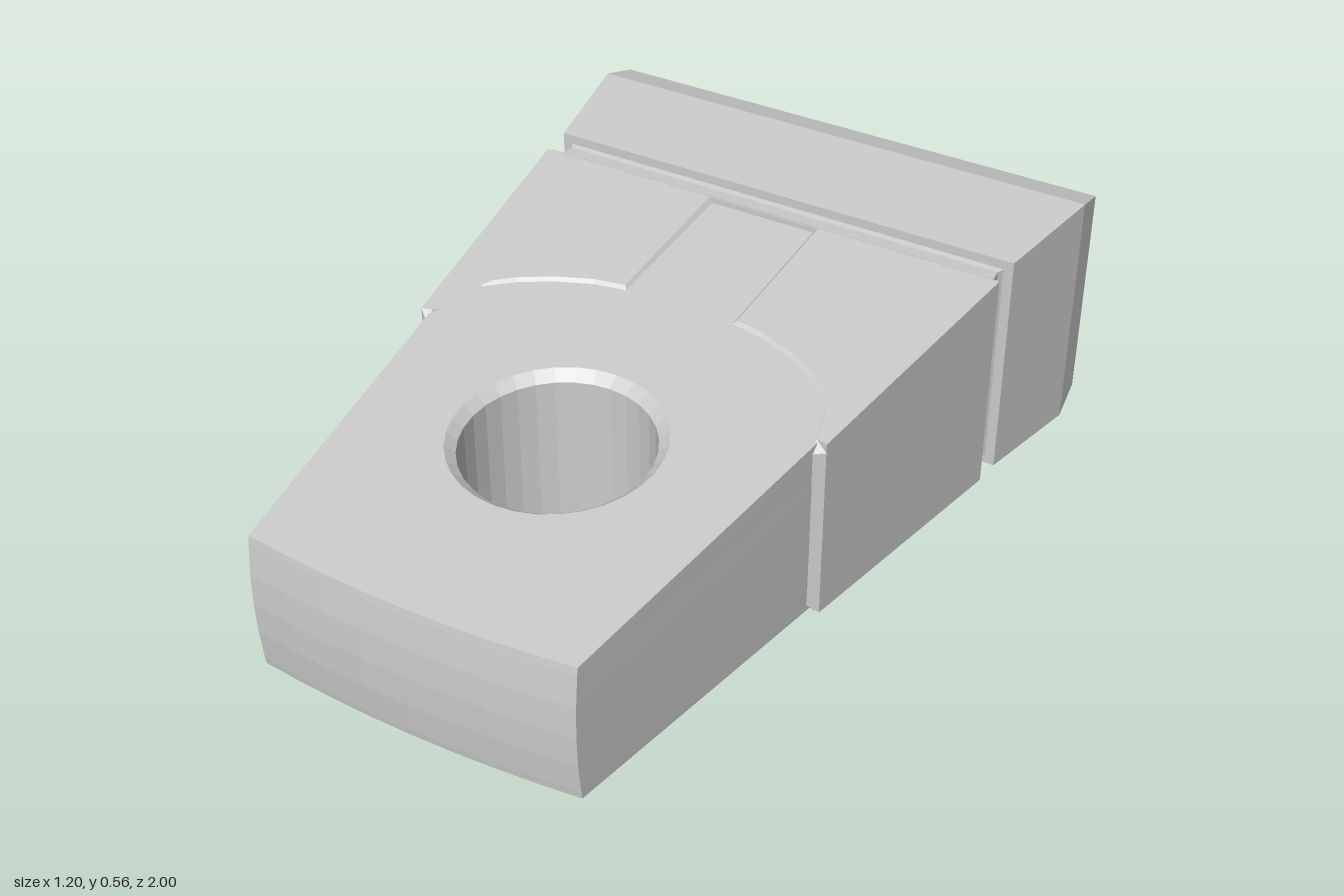
import * as THREE from 'three';

const MID = 0.28; // height of the middle plane
const LEVELS = [-1, -0.9, -0.45, 0, 0.45, 0.9, 1]; // layers through the thickness
const material = new THREE.MeshStandardMaterial({ color: 0xcccccc, flatShading: true });

function addMesh(group, name, geometry) {
  geometry.computeVertexNormals();
  const mesh = new THREE.Mesh(geometry, material);
  mesh.name = name;
  mesh.position.y = MID;
  group.add(mesh);
}

// Plan outline (x, z) given a tapering thickness; adjust() shifts points per layer
function taperedSlab(shape, halfHeight, adjust) {
  const geometry = new THREE.ExtrudeGeometry(shape, {
    depth: 6, steps: 6, bevelEnabled: false, curveSegments: 16,
  });
  const pos = geometry.attributes.position;
  const p = new THREE.Vector2();
  for (let i = 0; i < pos.count; i++) {
    const t = -LEVELS[Math.round(pos.getZ(i))];
    p.set(pos.getX(i), pos.getY(i));
    const h = halfHeight(p.y);
    adjust(p, t);
    pos.setXYZ(i, p.x, t * halfHeight(p.y) || t * h, p.y);
  }
  return geometry;
}

// Rectangular sections [z, halfWidth, halfHeight], ordered front to back, with end caps
function rectLoft(sections) {
  const points = [];
  const index = [];
  for (const [z, w, h] of sections) points.push(-w, -h, z, w, -h, z, w, h, z, -w, h, z);
  for (let s = 0; s < sections.length - 1; s++) {
    for (let k = 0; k < 4; k++) {
      const a = s * 4 + k, b = s * 4 + (k + 1) % 4;
      index.push(a, a + 4, b, b, a + 4, b + 4);
    }
  }
  const e = (sections.length - 1) * 4;
  index.push(0, 1, 2, 0, 2, 3, e, e + 2, e + 1, e, e + 3, e + 2);
  const geometry = new THREE.BufferGeometry();
  geometry.setAttribute('position', new THREE.Float32BufferAttribute(points, 3));
  geometry.setIndex(index);
  return geometry.toNonIndexed();
}

export function createModel() {
  const group = new THREE.Group();

  // Tapered tongue with a bulging front end and a chamfered hole
  const tongue = new THREE.Shape();
  tongue.moveTo(-0.526, -0.36);
  tongue.lineTo(0.526, -0.36);
  for (let i = 0; i <= 8; i++) {
    const u = 1 - i / 4;
    tongue.lineTo(0.355 * u, 0.965 + 0.022 * (1 - u * u));
  }
  const centre = new THREE.Vector2(0, 0.47);
  const hole = new THREE.Path();
  hole.absarc(centre.x, centre.y, 0.195, 0, Math.PI * 2, true);
  tongue.holes.push(hole);
  addMesh(group, 'tongue', taperedSlab(tongue, z => 0.157 + (0.97 - z) * 0.068, (p, t) => {
    if (p.y > 0.9) p.y += 0.012 * (1 - t * t);
    if (Math.abs(t) === 1 && p.distanceTo(centre) < 0.21) p.sub(centre).setLength(0.217).add(centre);
  }));

  // Raised shoulders either side of the central channel, with sloping inner edges
  const outline = [[0.443, 0.27], [0.467, 0.255], [0.55, -0.36], [0.11, -0.36],
    [0.11, 0.018], [0.18, 0.03], [0.26, 0.06], [0.33, 0.1], [0.385, 0.145]];
  for (const side of [1, -1]) {
    const shape = new THREE.Shape(outline.map(([x, z]) => new THREE.Vector2(side * x, z)));
    const slab = taperedSlab(shape, z => 0.21 + (0.26 - z) * 0.077, (p, t) => {
      if (Math.abs(t) < 1 || Math.abs(p.x) > 0.45) return;
      if (Math.abs(p.x) < 0.4) p.x += side * 0.022;
      if (p.y > -0.3) p.y -= 0.02;
    });
    addMesh(group, side > 0 ? 'leftShoulder' : 'rightShoulder', slab);
  }

  // Collar lip and the narrow groove behind it
  addMesh(group, 'grooveCollar', rectLoft([
    [-0.355, 0.549, 0.257], [-0.368, 0.543, 0.254], [-0.378, 0.527, 0.242],
    [-0.418, 0.523, 0.24], [-0.435, 0.533, 0.244],
  ]));

  // Wide head ending in a blunt wedge
  addMesh(group, 'wedgeHead', rectLoft([
    [-0.43, 0.552, 0.264], [-0.7, 0.6, 0.28], [-0.79, 0.592, 0.252], [-1, 0.485, 0.055],
  ]));

  return group;
}
